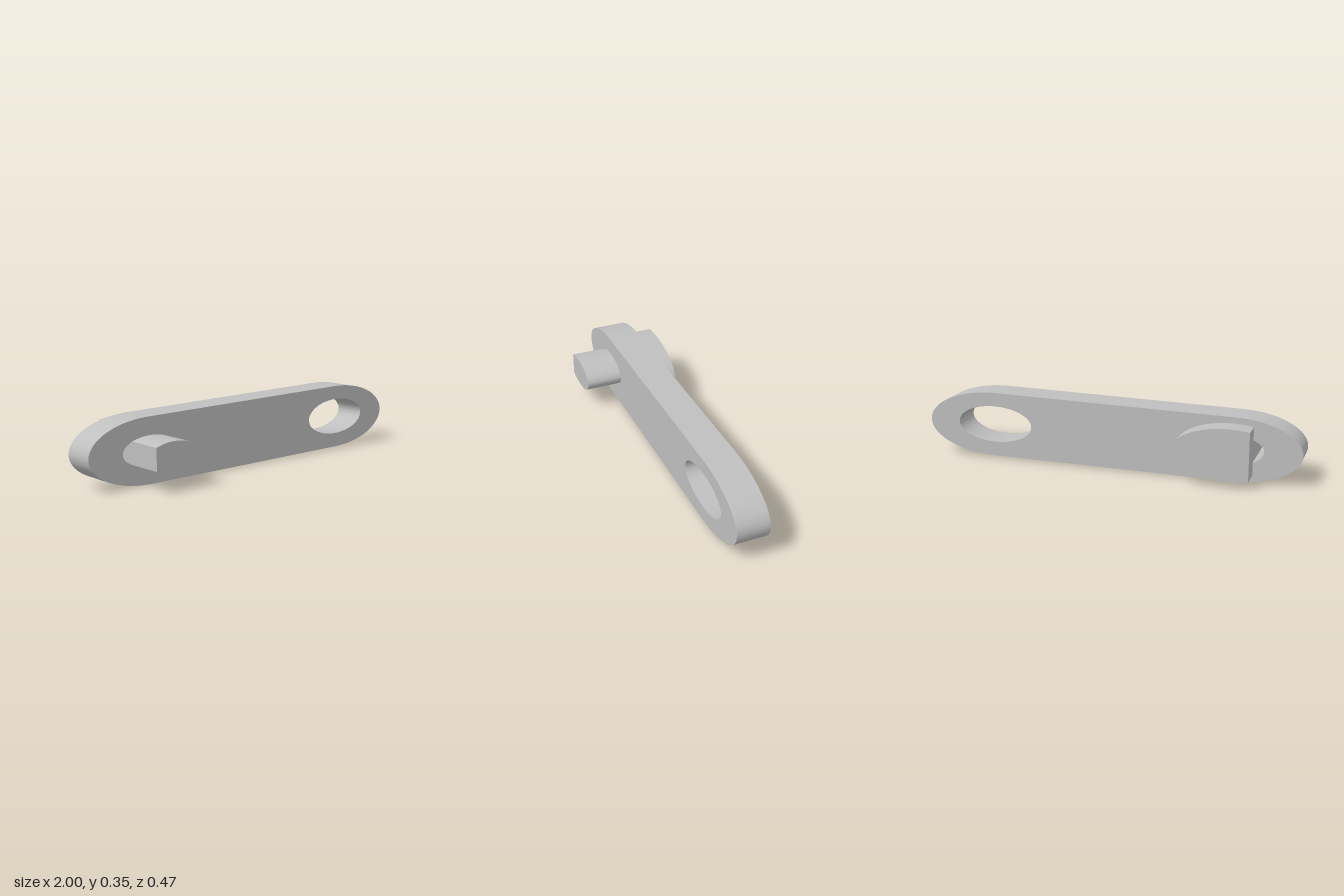
import * as THREE from 'three';
import { toCreasedNormals } from 'three/addons/utils/BufferGeometryUtils.js';

const PIN_X = -0.65, PIN_Y = 0.166, FLAT_X = -0.755;
const BACK = -0.235, PLATE_BACK = -0.127, PLATE_FRONT = 0.043, FRONT = 0.235;

// Extrude a shape between two z levels, smooth on curves and sharp at rims
function slab(name, shape, z0, z1, material) {
  const extruded = new THREE.ExtrudeGeometry(shape, { depth: z1 - z0, bevelEnabled: false, curveSegments: 48 });
  extruded.translate(0, 0, z0);
  const mesh = new THREE.Mesh(toCreasedNormals(extruded, 0.5), material);
  mesh.name = name;
  return mesh;
}

// Ellipse about the pin axis, cut off by a vertical flat on its -x side
function flattedEllipse(rx, ry) {
  const a = Math.acos((FLAT_X - PIN_X) / rx);
  const shape = new THREE.Shape();
  shape.absellipse(PIN_X, PIN_Y, rx, ry, -a, a, false, 0);
  shape.closePath();
  return shape;
}

function ellipseHole(x, y, rx, ry) {
  const path = new THREE.Path();
  path.absellipse(x, y, rx, ry, 0, Math.PI * 2, true, 0);
  return path;
}

export function createModel() {
  const group = new THREE.Group();
  group.name = 'chainLink';
  const metal = new THREE.MeshStandardMaterial({ color: 0xbfbfbf });
  metal.name = 'grey metal';

  // Link plate: two rounded ends, the +x one slightly larger, with two holes
  const plate = new THREE.Shape();
  plate.absellipse(0.628, 0.182, 0.372, 0.172, -Math.PI / 2, Math.PI / 2, false, 0);
  plate.absellipse(PIN_X, PIN_Y, 0.35, 0.166, Math.PI / 2, Math.PI * 1.5, false, 0);
  plate.closePath();
  plate.holes.push(ellipseHole(0.626, 0.184, 0.207, 0.097), ellipseHole(PIN_X, PIN_Y, 0.16, 0.075));
  group.add(slab('linkPlate', plate, PLATE_BACK, PLATE_FRONT, metal));

  // Flatted pin through the small hole, with its wider head behind
  group.add(slab('pin', flattedEllipse(0.16, 0.075), PLATE_BACK, FRONT, metal));
  group.add(slab('pinHead', flattedEllipse(0.286, 0.134), BACK, PLATE_BACK, metal));
  return group;
}
